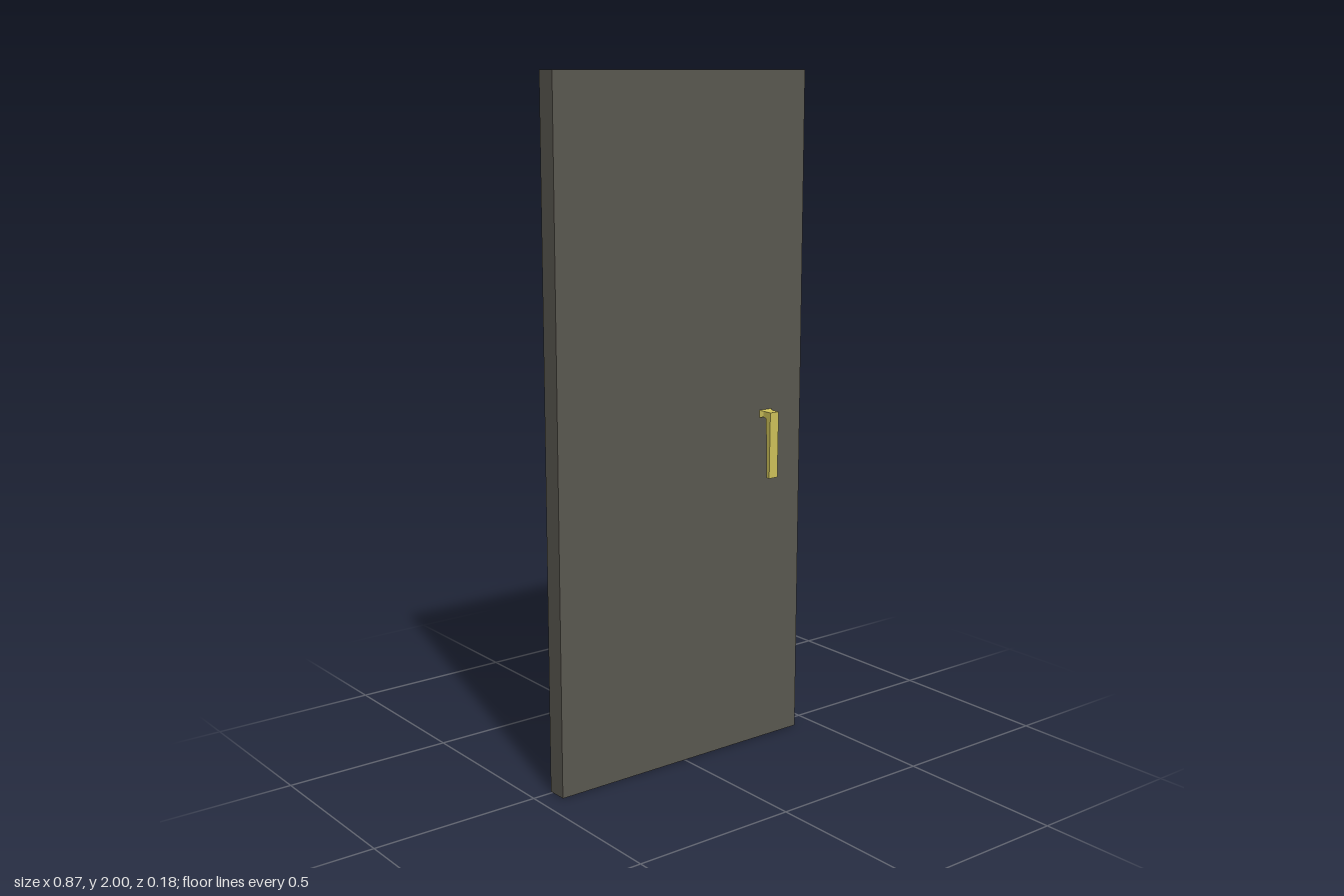
import * as THREE from 'three';

const doorMaterial = new THREE.MeshStandardMaterial({ color: 0x5a5850, flatShading: true });
const brassMaterial = new THREE.MeshStandardMaterial({ color: 0xcfc25a, flatShading: true });

const BAR_WIDTH = 0.032;

// Pull handle facing +z: flared foot, short arm and a hanging, tapered grip
function createHandle(name) {
  const handle = new THREE.Group();
  handle.name = name;

  // Arm and grip share one side profile (outward, up)
  const profile = new THREE.Shape([
    [0.062, 1.02], [0.062, 1.003], [0.072, 1.0], [0.075, 0.95], [0.078, 0.822],
    [0.09, 0.822], [0.092, 1.0], [0.092, 1.02],
  ].map(([z, y]) => new THREE.Vector2(z, y)));
  const gripGeometry = new THREE.ExtrudeGeometry(profile, { depth: BAR_WIDTH, bevelEnabled: false });
  gripGeometry.translate(0, 0, -BAR_WIDTH / 2).rotateY(-Math.PI / 2);
  const grip = new THREE.Mesh(gripGeometry, brassMaterial);
  grip.name = 'handleGrip';

  // Foot widens toward the door
  const footGeometry = new THREE.BoxGeometry(BAR_WIDTH, 0.017, 0.01);
  const p = footGeometry.attributes.position;
  for (let i = 0; i < p.count; i++) {
    if (p.getZ(i) < 0) p.setXY(i, p.getX(i) * 1.44, p.getY(i) * 1.3);
  }
  footGeometry.computeVertexNormals();
  const foot = new THREE.Mesh(footGeometry, brassMaterial);
  foot.name = 'handleFoot';
  foot.position.set(0, 1.0115, 0.057);

  handle.add(grip, foot);
  handle.position.x = 0.3;
  return handle;
}

export function createModel() {
  const model = new THREE.Group();
  model.name = 'door';

  const panel = new THREE.Mesh(new THREE.BoxGeometry(0.872, 2, 0.06), doorMaterial);
  panel.name = 'doorPanel';
  panel.position.set(0, 1, 0.021);

  // One handle on each side, the rear one turned around
  const frontHandle = createHandle('frontHandle');
  const backHandle = createHandle('backHandle');
  backHandle.rotation.y = Math.PI;

  model.add(panel, frontHandle, backHandle);
  return model;
}
